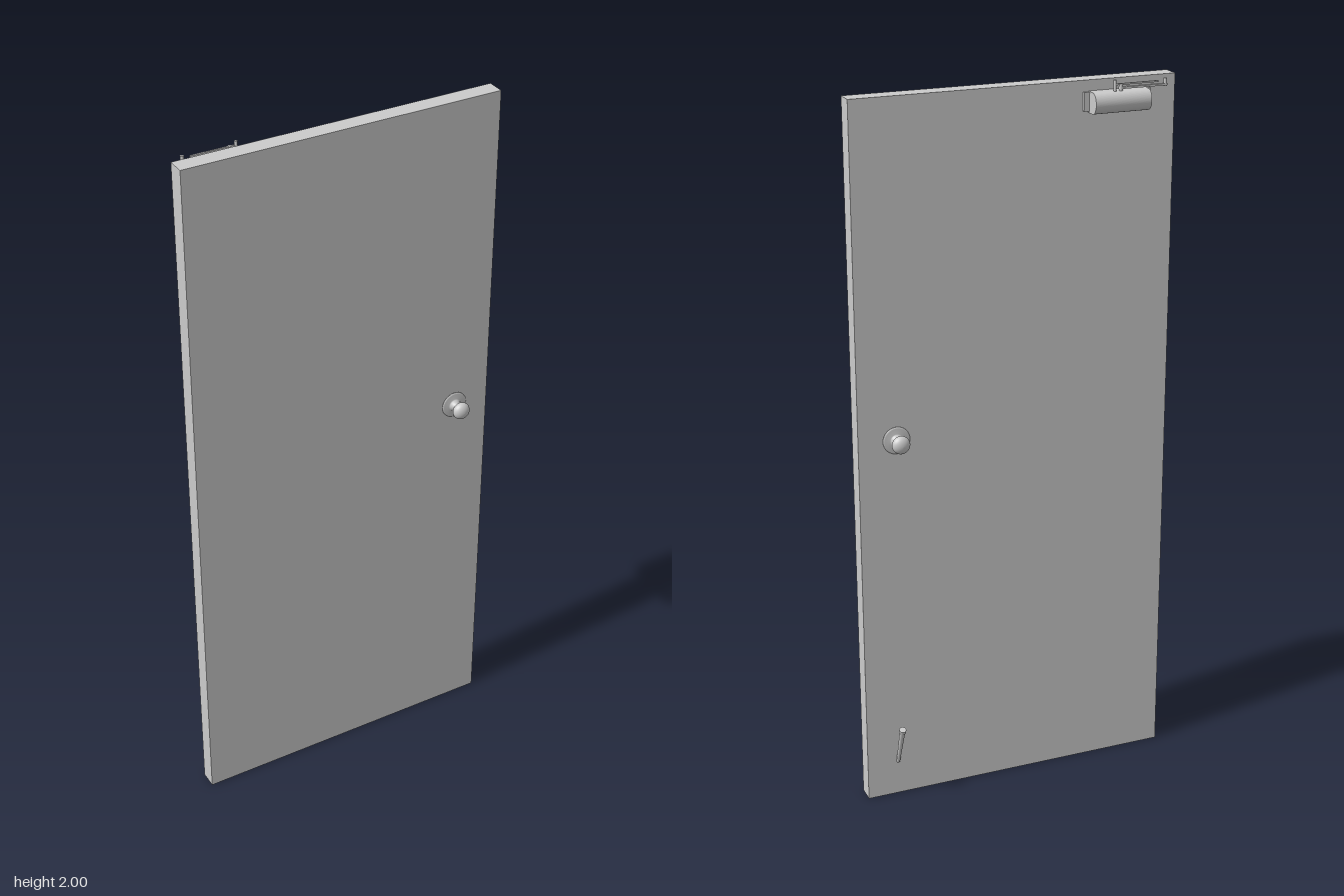
import * as THREE from 'three';

const mat = new THREE.MeshStandardMaterial({ color: 0xcccccc });

function add(parent, name, geo, x = 0, y = 0, z = 0) {
  const m = new THREE.Mesh(geo, mat);
  m.name = name;
  m.position.set(x, y, z);
  parent.add(m);
  return m;
}

// Knob with rosette and neck, turned around its axis and pointing along +z
function knobGeometry() {
  const pts = [[0, 0], [0.038, 0], [0.038, 0.003], [0.034, 0.005], [0.019, 0.005],
    [0.017, 0.008], [0.012, 0.014], [0.011, 0.021]].map(p => new THREE.Vector2(...p));
  for (let i = 1; i <= 14; i++) {
    const a = -Math.PI / 2 + 0.42 + (Math.PI / 2 - 0.42) * 2 * i / 14 + 0.42 * i / 14;
    pts.push(new THREE.Vector2(Math.max(0, 0.025 * Math.cos(a)), 0.039 + 0.018 * Math.sin(a)));
  }
  return new THREE.LatheGeometry(pts, 32).rotateX(Math.PI / 2);
}

// Cylinder between two points
function rod(parent, name, a, b, rA, rB) {
  const d = b.clone().sub(a);
  const m = add(parent, name, new THREE.CylinderGeometry(rB, rA, d.length(), 20));
  m.position.copy(a).addScaledVector(d, 0.5);
  m.quaternion.setFromUnitVectors(new THREE.Vector3(0, 1, 0), d.normalize());
  return m;
}

// Flat bar with rounded ends lying along x
function barGeometry(length, r, thickness) {
  const s = new THREE.Shape();
  s.absarc(length / 2, 0, r, -Math.PI / 2, Math.PI / 2);
  s.absarc(-length / 2, 0, r, Math.PI / 2, Math.PI * 1.5);
  return new THREE.ExtrudeGeometry(s, { depth: thickness, bevelEnabled: false, curveSegments: 10 })
    .rotateX(-Math.PI / 2);
}

export function createModel() {
  const door = new THREE.Group();
  door.name = 'door';
  add(door, 'doorPanel', new THREE.BoxGeometry(0.905, 2, 0.05), -0.0025, 1, 0.002);

  // Knobs on both faces
  const knob = knobGeometry();
  add(door, 'frontKnob', knob, 0.343, 1.08, 0.027);
  add(door, 'backKnob', knob, 0.343, 1.08, -0.023).rotation.y = Math.PI;

  // Door closer on the upper back
  const closer = new THREE.Group();
  closer.name = 'doorCloser';
  door.add(closer);
  add(closer, 'closerPlate', new THREE.BoxGeometry(0.19, 0.05, 0.008), -0.285, 1.944, -0.027);
  const s = new THREE.Shape();
  s.moveTo(0.023, -0.028);
  s.lineTo(0.05, -0.028);
  s.absellipse(0.05, 0, 0.023, 0.028, -Math.PI / 2, Math.PI / 2);
  s.lineTo(0.023, 0.028);
  const body = new THREE.ExtrudeGeometry(s, { depth: 0.16, bevelEnabled: false, curveSegments: 24 });
  add(closer, 'closerBody', body.rotateY(Math.PI / 2), -0.365, 1.943, 0);

  // Two-part closer arm with pivots
  const z = -0.05;
  add(closer, 'lowerArm', barGeometry(0.128, 0.006, 0.005), -0.349, 1.976, z);
  add(closer, 'upperArm', barGeometry(0.12, 0.0025, 0.004), -0.33, 1.986, z);
  for (const [x, y0, y1, r] of [[-0.413, 1.974, 1.995, 0.005], [-0.285, 1.968, 1.99, 0.005], [-0.268, 1.968, 2, 0.004]])
    rod(closer, 'armPivot', new THREE.Vector3(x, y0, z), new THREE.Vector3(x, y1, z), r, r);

  // Slanted door stop on the lower back
  const foot = new THREE.Vector3(0.36, 0.103, -0.024);
  const tip = new THREE.Vector3(0.362, 0.232, -0.076);
  const neck = foot.clone().lerp(tip, 0.93);
  rod(door, 'doorStopRod', foot, neck, 0.005, 0.008);
  rod(door, 'doorStopTip', neck, tip, 0.01, 0.01);
  return door;
}
